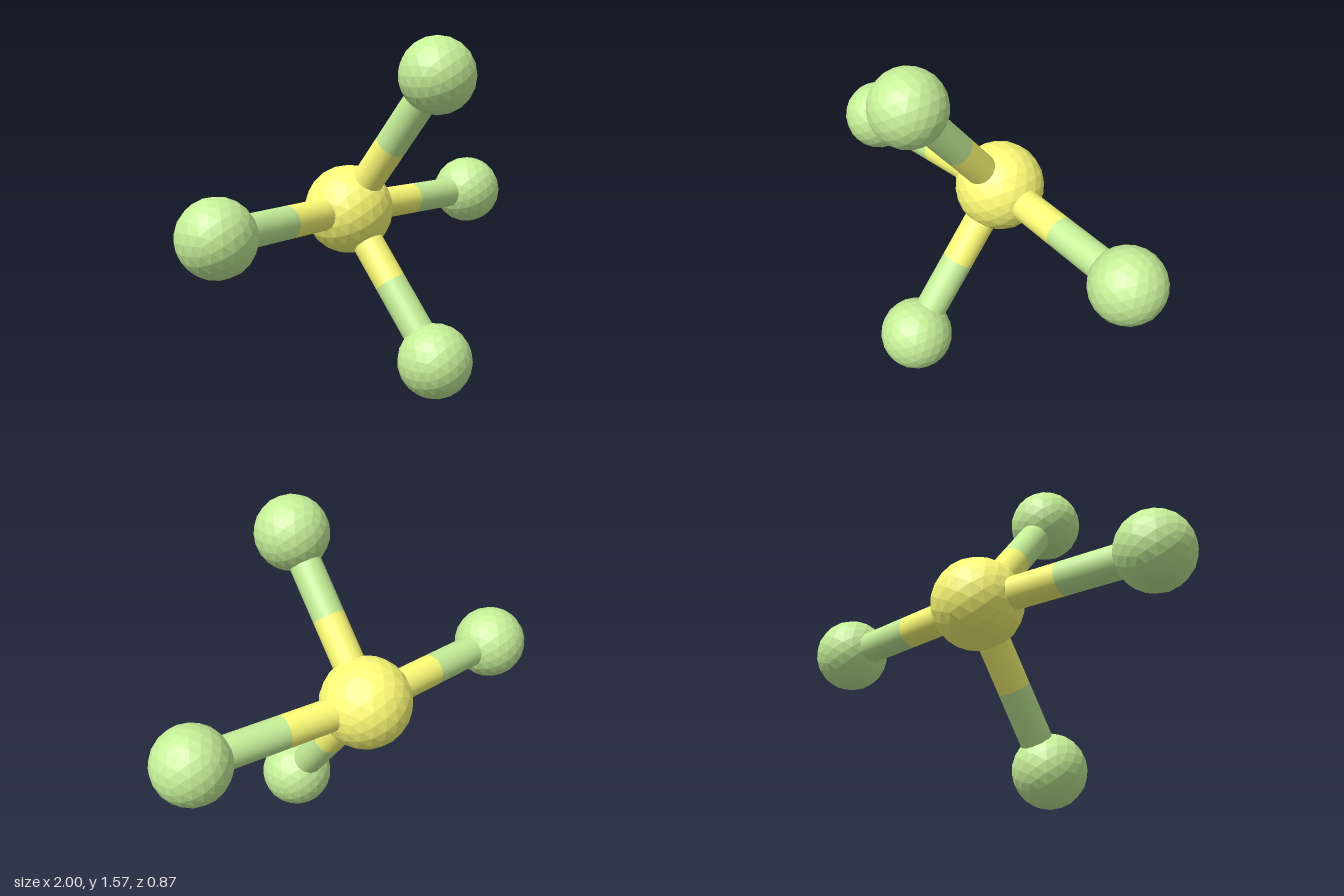
import * as THREE from 'three';

const yellow = 0xffff78;
const green = 0xc6f098;

export function createModel() {
  const model = new THREE.Group();
  const centre = new THREE.Vector3(0, 0.79, -0.235);

  // faceted ball
  function addBall(name, position, radius, color) {
    const ball = new THREE.Mesh(
      new THREE.IcosahedronGeometry(radius, 3),
      new THREE.MeshStandardMaterial({ color, flatShading: true })
    );
    ball.name = name;
    ball.position.copy(position);
    model.add(ball);
  }

  // round rod between two points
  function addRod(name, from, to, color) {
    const direction = to.clone().sub(from);
    const rod = new THREE.Mesh(
      new THREE.CylinderGeometry(0.072, 0.072, direction.length(), 32),
      new THREE.MeshStandardMaterial({ color })
    );
    rod.name = name;
    rod.position.copy(from).lerp(to, 0.5);
    rod.quaternion.setFromUnitVectors(new THREE.Vector3(0, 1, 0), direction.normalize());
    model.add(rod);
  }

  addBall('centreAtom', centre, 0.203, yellow);

  // four outer atoms, each on a two-coloured bond
  const outer = {
    left: [0.835, 0.79, -0.172],
    right: [-0.835, 0.79, -0.172],
    upper: [0, 1.41, 0.27],
    lower: [0, 0.17, 0.27],
  };
  for (const [side, xyz] of Object.entries(outer)) {
    const end = new THREE.Vector3(...xyz);
    const middle = centre.clone().lerp(end, 0.5);
    addBall(side + 'Atom', end, 0.166, green);
    addRod(side + 'BondInner', centre, middle, yellow);
    addRod(side + 'BondOuter', middle, end, green);
  }
  return model;
}
